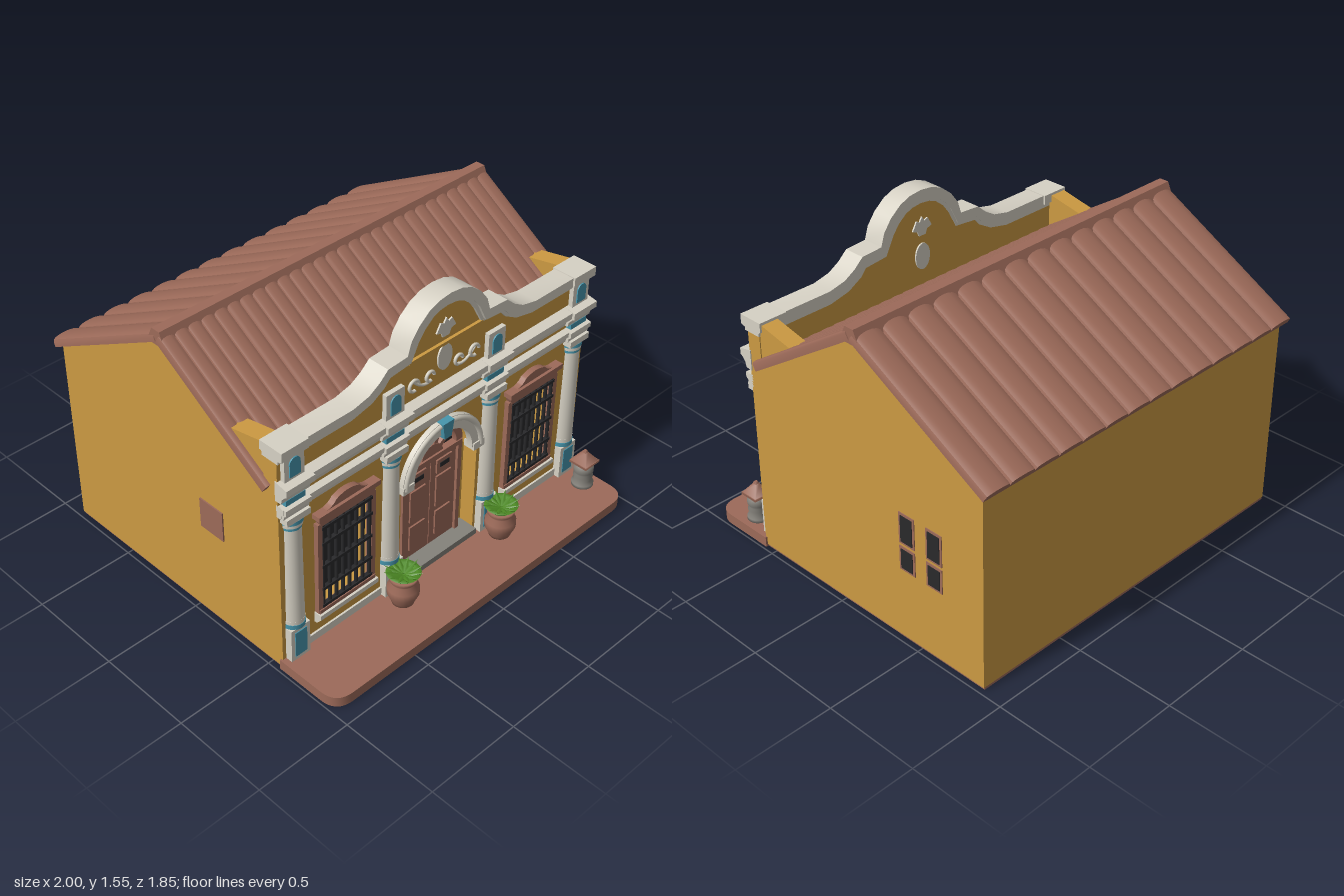
import * as THREE from 'three';
import { toCreasedNormals } from 'three/addons/utils/BufferGeometryUtils.js';

const mat = (name, color, side = THREE.FrontSide) => {
  const m = new THREE.MeshStandardMaterial({ color, side });
  m.name = name;
  return m;
};

export function createModel() {
  const ochre = mat('ochre wall', 0xcc9a42), clay = mat('clay', 0x9c6a59), white = mat('off white', 0xd6d1c4);
  const blue = mat('blue', 0x4796ad), dark = mat('dark iron', 0x29292b), green = mat('leaf green', 0x4d8a24, THREE.DoubleSide);
  const grey = mat('stone grey', 0x85827b);

  const model = new THREE.Group();
  model.name = 'house';
  const add = (name, geo, m, x = 0, y = 0, z = 0, parent = model) => {
    const mesh = new THREE.Mesh(geo, m);
    mesh.name = name;
    mesh.position.set(x, y, z);
    parent.add(mesh);
    return mesh;
  };
  // box given by its limits
  const box = (name, m, x0, x1, y0, y1, z0, z1, parent) =>
    add(name, new THREE.BoxGeometry(x1 - x0, y1 - y0, z1 - z0), m, (x0 + x1) / 2, (y0 + y1) / 2, (z0 + z1) / 2, parent);
  const shapeOf = pts => new THREE.Shape(pts.map(p => new THREE.Vector2(p[0], p[1])));
  const extrude = (shape, depth) =>
    toCreasedNormals(new THREE.ExtrudeGeometry(shape, { depth, bevelEnabled: false, curveSegments: 16 }), 0.6);
  // (z, y) profile swept along x
  const sweepX = (pts, x0, x1) => extrude(shapeOf(pts), x1 - x0).rotateY(-Math.PI / 2).translate(x1, 0, 0);
  const lathe = (pts, n = 24) => new THREE.LatheGeometry(pts.map(p => new THREE.Vector2(p[0], p[1])), n);
  const halfRing = (ro, ri) => {
    const s = new THREE.Shape();
    s.absarc(0, 0, ro, 0, Math.PI, false);
    if (ri) s.absarc(0, 0, ri, Math.PI, 0, true);
    return s;
  };

  // ground slab and terrace with rounded front corners
  box('groundSlab', clay, -0.97, 0.97, 0, 0.012, -0.88, 0.57);
  const terrace = new THREE.Shape();
  terrace.moveTo(-0.985, -0.56);
  terrace.lineTo(-0.985, -0.82);
  terrace.quadraticCurveTo(-0.985, -0.92, -0.885, -0.92);
  terrace.lineTo(0.885, -0.92);
  terrace.quadraticCurveTo(0.985, -0.92, 0.985, -0.82);
  terrace.lineTo(0.985, -0.56);
  add('terrace', extrude(terrace, 0.053).rotateX(-Math.PI / 2), clay);

  // main body with gables
  add('body', sweepX([[-0.88, 0.012], [0.49, 0.012], [0.49, 1.01], [-0.14, 1.42], [-0.88, 1.01]], -0.975, 0.975), ochre);

  // roof slopes: scalloped section running down from the ridge
  const slope = (run, drop, count, bump) => {
    const pts = [[-1, 0], [1, 0]], w = 2 / count, steps = 8;
    for (let i = count - 1; i >= 0; i--)
      for (let k = 0; k <= steps; k++) {
        const t = Math.PI * k / steps;
        pts.push([-1 + w * (i + 0.5 + 0.49 * Math.cos(t)), 0.046 - bump + bump * Math.pow(Math.sin(t), 0.6)]);
      }
    return extrude(shapeOf(pts), Math.hypot(run, drop)).rotateX(Math.atan2(drop, run));
  };
  add('frontRoof', slope(0.645, 0.42, 28, 0.012), clay, 0, 1.418, -0.14);
  add('backRoof', slope(0.765, 0.42, 14, 0.026).rotateY(Math.PI), clay, 0, 1.418, -0.14);
  add('ridge', sweepX([[-0.2, 1.40], [-0.08, 1.40], [-0.115, 1.475], [-0.165, 1.475]], -0.995, 0.995), clay);

  // parapet outline, mirrored, with an inward offset
  const half = [[0.98, 1.24], [0.57, 1.24], [0.48, 1.26], [0.42, 1.295], [0.37, 1.34], [0.255, 1.347], [0.235, 1.41],
    [0.19, 1.47], [0.13, 1.518], [0.07, 1.542]];
  const outline = [...half.map(p => [-p[0], p[1]]), [0, 1.55], ...half.slice().reverse()];
  const inset = d => outline.map((p, i) => {
    const a = outline[Math.max(i - 1, 0)], b = outline[Math.min(i + 1, outline.length - 1)];
    const l = Math.hypot(b[0] - a[0], b[1] - a[1]);
    return [p[0] + d * (b[1] - a[1]) / l, p[1] - d * (b[0] - a[0]) / l];
  });

  // facade wall with door and window openings
  const facade = shapeOf([[0.975, 0.012], ...inset(0.02).map(p => [THREE.MathUtils.clamp(p[0], -0.975, 0.975), p[1]]).reverse(), [-0.975, 0.012]]);
  const doorway = new THREE.Path();
  doorway.moveTo(-0.25, 0.05);
  doorway.lineTo(0.25, 0.05);
  doorway.lineTo(0.25, 0.6);
  doorway.lineTo(0.2, 0.6);
  doorway.absarc(0, 0.61, 0.2, 0, Math.PI, false);
  doorway.lineTo(-0.2, 0.6);
  doorway.lineTo(-0.25, 0.6);
  doorway.closePath();
  facade.holes.push(doorway);
  for (const x of [-0.605, 0.605])
    facade.holes.push(new THREE.Path([[-0.15, 0.22], [0.15, 0.22], [0.15, 0.73], [-0.15, 0.73]].map(p => new THREE.Vector2(x + p[0], p[1]))));
  add('facade', extrude(facade, 0.08), ochre, 0, 0, 0.49);
  add('parapetTrim', extrude(shapeOf([...outline, ...inset(0.05).reverse()]), 0.112), white, 0, 0, 0.485);
  add('trimFillet', extrude(shapeOf([...inset(0.045), ...inset(0.068).reverse()]), 0.095), white, 0, 0, 0.488);

  // tympanum ledge, plain ornaments on both faces, and scrolls
  box('tympanumLedge', ochre, -0.23, 0.23, 1.28, 1.295, 0.57, 0.585);
  const crest = shapeOf([[-0.06, 0.005], [-0.035, 0.05], [-0.015, 0.04], [0, 0.065], [0.015, 0.04], [0.035, 0.05], [0.06, 0.005], [0.03, -0.005], [0.02, -0.03], [-0.02, -0.03], [-0.03, -0.005]]);
  for (const z of [0.482, 0.57]) {
    add('crest', extrude(crest, 0.008), white, 0, 1.35, z);
    add('medallion', new THREE.CylinderGeometry(0.05, 0.05, 0.008, 24).rotateX(Math.PI / 2).scale(0.9, 1.35, 1), white, 0, 1.21, z + 0.004);
  }
  for (const s of [-1, 1]) {
    for (const [x, r] of [[0.09, 0.024], [0.19, 0.028]])
      add('scroll', new THREE.TorusGeometry(r, 0.008, 8, 20, 5), white, s * x, 1.15, 0.576);
    const link = new THREE.QuadraticBezierCurve3(new THREE.Vector3(s * 0.09, 1.125, 0.576), new THREE.Vector3(s * 0.14, 1.11, 0.576), new THREE.Vector3(s * 0.2, 1.178, 0.576));
    add('scrollLink', new THREE.TubeGeometry(link, 12, 0.007, 6), white);
    // side return walls between parapet and roof
    add('parapetReturn', sweepX([[0.5, 1.0], [0.5, 1.235], [0.28, 1.19], [0.28, 1.12]], s * 0.925 - 0.045, s * 0.925 + 0.045), ochre);
    box('parapetEnd', white, s * 0.905 - 0.075, s * 0.905 + 0.075, 1.195, 1.243, 0.475, 0.608);
    box('plinth', white, s * 0.605 - 0.34, s * 0.605 + 0.34, 0.05, 0.095, 0.56, 0.58);
  }

  // entablature mouldings
  const architrave = (x0, x1, o) => sweepX([[0.56, 0.882], [0.585 + o, 0.882], [0.59 + o, 0.905], [0.602 + o, 0.915], [0.602 + o, 0.94], [0.56, 0.948]], x0, x1);
  const cornice = (x0, x1, o) => sweepX([[0.56, 0.972], [0.582 + o, 0.975], [0.588 + o, 1.0], [0.606 + o, 1.022], [0.618 + o, 1.03], [0.618 + o, 1.062], [0.56, 1.075]], x0, x1);
  add('architrave', architrave(-0.975, 0.975, 0), white);
  add('cornice', cornice(-0.98, 0.98, 0), white);

  // columns, their entablature blocks and the parapet pilasters
  for (const x of [-0.9, -0.32, 0.32, 0.9]) {
    add('columnShaft', new THREE.CylinderGeometry(0.046, 0.052, 0.56, 24), white, x, 0.53, 0.562);
    box('pedestal', white, x - 0.055, x + 0.055, 0.05, 0.235, 0.55, 0.608);
    box('pedestalPanel', blue, x - 0.034, x + 0.034, 0.075, 0.215, 0.606, 0.612);
    for (const [y, r, h, m] of [[0.245, 0.056, 0.025, blue], [0.268, 0.054, 0.02, white], [0.806, 0.05, 0.016, blue], [0.823, 0.054, 0.018, white], [0.842, 0.057, 0.02, blue]])
      add('columnRing', new THREE.CylinderGeometry(r, r, h, 24), m, x, y, 0.56);
    box('capital', white, x - 0.066, x + 0.066, 0.852, 0.885, 0.55, 0.615);
    add('architraveBlock', architrave(x - 0.072, x + 0.072, 0.014), white);
    box('friezeBlock', blue, x - 0.055, x + 0.055, 0.946, 0.975, 0.56, 0.598);
    add('corniceBlock', cornice(x - 0.08, x + 0.08, 0.014), white);
    box('parapetPilaster', white, x - 0.055, x + 0.055, 1.065, 1.2, 0.56, 0.594);
    const niche = halfRing(0.03);
    niche.lineTo(-0.03, -0.065);
    niche.lineTo(0.03, -0.065);
    add('nichePanel', extrude(niche, 0.008), blue, x, 1.15, 0.592);
  }

  // door, fanlight and arch
  box('doorStep', grey, -0.245, 0.245, 0.05, 0.085, 0.49, 0.6);
  for (const s of [-1, 1]) {
    const leaf = new THREE.Group();
    leaf.name = 'doorLeaf';
    leaf.position.x = s * 0.085;
    model.add(leaf);
    box('doorPanelBoard', clay, -0.083, 0.083, 0.085, 0.61, 0.49, 0.515, leaf);
    for (const [y0, y1] of [[0.13, 0.27], [0.3, 0.48], [0.5, 0.575]]) box('doorPanel', clay, -0.05, 0.05, y0, y1, 0.51, 0.524, leaf);
    box('doorVent', dark, -0.03, 0.03, 0.53, 0.555, 0.523, 0.527, leaf);
    box('doorPost', clay, s * 0.18 - 0.012, s * 0.18 + 0.012, 0.085, 0.62, 0.49, 0.53);
    box('archImpost', white, s * 0.23 - 0.035, s * 0.23 + 0.035, 0.59, 0.63, 0.54, 0.602);
  }
  box('doorLintel', clay, -0.19, 0.19, 0.605, 0.63, 0.49, 0.535);
  add('fanlightGlass', extrude(halfRing(0.195), 0.008), dark, 0, 0.62, 0.492);
  add('fanlightRim', extrude(halfRing(0.195, 0.155), 0.035), clay, 0, 0.62, 0.495);
  add('fanlightHub', extrude(halfRing(0.07), 0.03), clay, 0, 0.62, 0.495);
  for (const a of [-0.95, -0.32, 0.32, 0.95]) {
    const spoke = add('fanlightSpoke', new THREE.BoxGeometry(0.024, 0.17, 0.025).translate(0, 0.085, 0), clay, 0, 0.62, 0.51);
    spoke.rotation.z = a;
  }
  add('doorArch', extrude(halfRing(0.262, 0.19), 0.035), white, 0, 0.61, 0.56);
  add('doorArchRoll', new THREE.TorusGeometry(0.245, 0.014, 8, 32, Math.PI), white, 0, 0.61, 0.595);
  add('keystone', extrude(shapeOf([[-0.022, 0.785], [0.022, 0.785], [0.036, 0.872], [-0.036, 0.872]]), 0.055), blue, 0, 0, 0.56);

  // front windows with iron grilles
  const header = new THREE.Shape();
  header.moveTo(-0.155, 0.72);
  header.lineTo(0.155, 0.72);
  header.lineTo(0.182, 0.785);
  header.quadraticCurveTo(0.09, 0.785, 0.07, 0.82);
  header.quadraticCurveTo(0, 0.855, -0.07, 0.82);
  header.quadraticCurveTo(-0.09, 0.785, -0.182, 0.785);
  for (const x of [-0.605, 0.605]) {
    const win = new THREE.Group();
    win.name = 'frontWindow';
    win.position.x = x;
    model.add(win);
    box('windowDark', dark, -0.15, 0.15, 0.22, 0.73, 0.488, 0.496, win);
    add('windowHeader', extrude(header, 0.035), clay, 0, 0, 0.565, win);
    box('headerLedge', clay, -0.182, 0.182, 0.765, 0.79, 0.56, 0.615, win);
    for (const s of [-1, 1]) box('windowJamb', clay, s * 0.16 - 0.013, s * 0.16 + 0.013, 0.21, 0.73, 0.56, 0.595, win);
    box('windowBottomRail', clay, -0.17, 0.17, 0.213, 0.235, 0.56, 0.6, win);
    add('windowSill', sweepX([[0.56, 0.155], [0.585, 0.16], [0.612, 0.19], [0.612, 0.215], [0.56, 0.215]], -0.178, 0.178), white, 0, 0, 0, win);
    for (let i = 0; i < 8; i++)
      add('grilleBar', new THREE.CylinderGeometry(0.009, 0.009, 0.49, 8), dark, -0.14 + i * 0.04, 0.475, 0.588, win);
    for (const y of [0.25, 0.35, 0.48, 0.61, 0.7]) box('grilleRail', dark, -0.15, 0.15, y - 0.008, y + 0.008, 0.58, 0.6, win);
  }

  // four-pane window on the left side, small shutter on the right side
  for (const [z0, z1] of [[-0.475, -0.38], [-0.64, -0.545]])
    for (const [y0, y1] of [[0.38, 0.505], [0.52, 0.68]]) {
      box('sideWindowFrame', clay, 0.973, 0.979, y0, y1, z0, z1);
      box('sideWindowPane', dark, 0.977, 0.982, y0 + 0.012, y1 - 0.012, z0 + 0.012, z1 - 0.012);
    }
  box('sideShutter', clay, -0.982, -0.973, 0.52, 0.68, 0.06, 0.21);

  // potted plants
  for (const x of [-0.33, 0.33]) {
    const pot = new THREE.Group();
    pot.name = 'pottedPlant';
    pot.position.set(x, 0.05, 0.675);
    model.add(pot);
    add('pot', lathe([[0, 0], [0.052, 0], [0.058, 0.02], [0.076, 0.06], [0.076, 0.095], [0.058, 0.125], [0.066, 0.14], [0.066, 0.155], [0, 0.15]]), clay, 0, 0, 0, pot);
    add('foliage', lathe([[0.045, 0.145], [0.075, 0.175], [0.082, 0.182], [0.06, 0.182], [0.03, 0.165], [0, 0.16]]), green, 0, 0, 0, pot);
    for (let i = 0; i < 12; i++) {
      const leaf = new THREE.ConeGeometry(0.022, 0.09, 6).scale(1, 1, 0.4).translate(0, 0.045, 0).rotateX(1.15).translate(0, 0.158, 0.01);
      add('leaf', leaf.rotateY(i * Math.PI / 6), green, 0, 0, 0, pot);
    }
  }

  // stone lantern with a clay cap
  const lantern = new THREE.Group();
  lantern.name = 'lantern';
  lantern.position.set(0.9, 0.05, 0.715);
  model.add(lantern);
  add('lanternBody', lathe([[0, 0], [0.055, 0], [0.055, 0.02], [0.042, 0.035], [0.05, 0.06], [0.042, 0.075], [0.05, 0.09], [0.05, 0.11], [0.042, 0.14], [0, 0.14]]), grey, 0, 0, 0, lantern);
  const cap = (r0, r1, h, y) => add('lanternCap', new THREE.CylinderGeometry(r0, r1, h, 4).rotateY(Math.PI / 4).toNonIndexed(), clay, 0, y, 0, lantern);
  cap(0.074, 0.074, 0.012, 0.144);
  cap(0.016, 0.07, 0.05, 0.174);
  cap(0.01, 0.016, 0.012, 0.205);

  return model;
}
